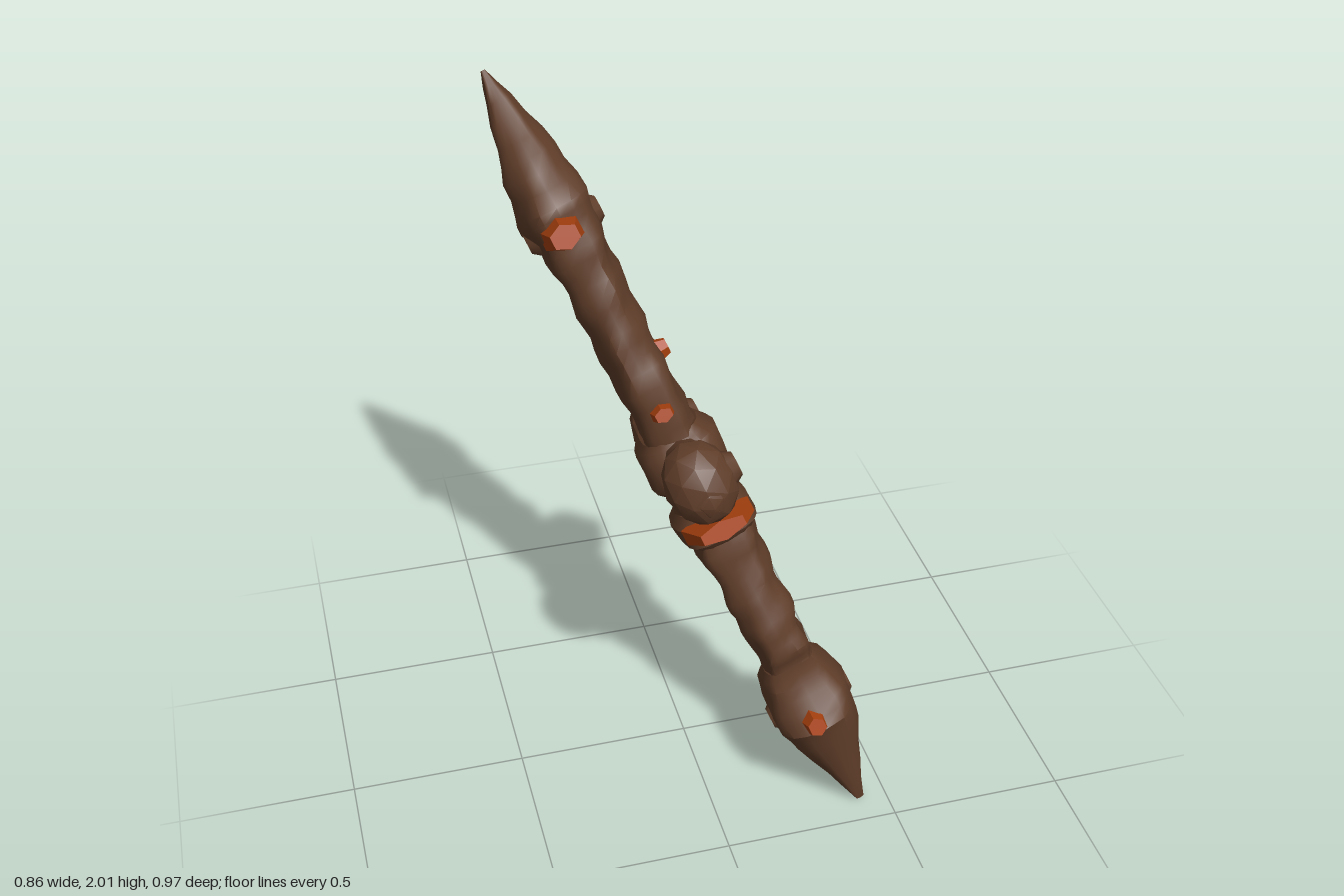
import * as THREE from 'three';
import { toCreasedNormals } from 'three/addons/utils/BufferGeometryUtils.js';

const brown = new THREE.MeshStandardMaterial({ color: 0x5f3d29 });
brown.name = 'dark brown';
const ember = new THREE.MeshStandardMaterial({ color: 0xa8410f });
ember.name = 'ember orange';

// Closed loft along y. Each section: [y, +z reach, -z reach, x half thickness]
function loft(sections, sides, lump) {
  const rows = [];
  sections.forEach((s, i) => {
    rows.push(s);
    const next = sections[i + 1];
    if (next) rows.push(s.map((v, k) => (v + next[k]) / 2));
  });
  const pos = [], index = [];
  const soft = (v) => Math.sign(v) * Math.abs(v) ** 0.72;
  rows.forEach(([y, front, back, thick]) => {
    for (let j = 0; j < sides; j++) {
      const a = (j / sides) * Math.PI * 2;
      const k = 1 + lump * Math.sin(y * 31 + 3 * a) * Math.cos(y * 17 - 2 * a);
      const s = soft(Math.sin(a));
      pos.push(thick * soft(Math.cos(a)) * k, y, s * (s > 0 ? front : back) * (1 + (k - 1) * 0.4));
    }
  });
  for (let i = 0; i < rows.length - 1; i++) {
    for (let j = 0; j < sides; j++) {
      const a = i * sides + j, b = i * sides + ((j + 1) % sides);
      index.push(a, a + sides, b, b, a + sides, b + sides);
    }
  }
  // end caps
  const top = (rows.length - 1) * sides;
  for (let j = 1; j < sides - 1; j++) index.push(0, j, j + 1, top, top + j + 1, top + j);
  const g = new THREE.BufferGeometry();
  g.setAttribute('position', new THREE.Float32BufferAttribute(pos, 3));
  g.setIndex(index);
  return toCreasedNormals(g, 0.75);
}

export function createModel() {
  const model = new THREE.Group();
  model.name = 'dagger';

  // Local frame: x = thickness, y = along the blade, z = along the guard
  const along = new THREE.Vector3(-0.84, 2, -0.83).normalize();
  const across = new THREE.Vector3(-0.09, 0.345, 0.935);
  across.addScaledVector(along, -across.dot(along)).normalize();
  const thick = new THREE.Vector3().crossVectors(along, across);
  const body = new THREE.Group();
  body.name = 'tiltedDagger';
  body.quaternion.setFromRotationMatrix(new THREE.Matrix4().makeBasis(thick, along, across));
  body.position.y = 1;
  model.add(body);

  const add = (name, geometry, material, p = [0, 0, 0], s = [1, 1, 1]) => {
    const m = new THREE.Mesh(geometry, material);
    m.name = name;
    m.position.set(...p);
    m.scale.set(...s);
    body.add(m);
    return m;
  };

  add('blade', loft([
    [0.04, 0.135, 0.14, 0.085], [0.12, 0.14, 0.14, 0.075], [0.2, 0.165, 0.15, 0.075],
    [0.3, 0.172, 0.155, 0.078], [0.38, 0.168, 0.145, 0.074], [0.46, 0.174, 0.146, 0.078],
    [0.53, 0.172, 0.17, 0.078], [0.6, 0.175, 0.155, 0.08], [0.67, 0.18, 0.16, 0.088],
    [0.74, 0.195, 0.165, 0.1], [0.79, 0.194, 0.152, 0.098], [0.88, 0.145, 0.115, 0.085],
    [0.97, 0.102, 0.08, 0.065], [1.08, 0.045, 0.036, 0.034], [1.163, 0.006, 0.006, 0.006],
  ], 20, 0.13), brown);

  add('handle', loft([
    [-0.74, 0.075, 0.11, 0.075], [-0.67, 0.068, 0.1, 0.07], [-0.62, 0.11, 0.105, 0.075],
    [-0.56, 0.114, 0.115, 0.072], [-0.51, 0.112, 0.162, 0.08], [-0.45, 0.116, 0.155, 0.082],
    [-0.4, 0.106, 0.15, 0.074], [-0.33, 0.108, 0.165, 0.085], [-0.26, 0.112, 0.175, 0.092],
    [-0.18, 0.12, 0.16, 0.09], [-0.1, 0.115, 0.14, 0.085], [0.05, 0.12, 0.14, 0.09],
  ], 20, 0.15), brown);

  add('pommel', loft([
    [-1.163, 0.008, 0.008, 0.012], [-1.03, 0.078, 0.062, 0.055], [-0.9, 0.15, 0.12, 0.1],
    [-0.83, 0.195, 0.19, 0.118], [-0.77, 0.165, 0.178, 0.12], [-0.71, 0.125, 0.165, 0.1],
    [-0.675, 0.07, 0.11, 0.075],
  ], 16, 0.06), brown);

  add('guardCollar', loft([
    [-0.07, 0.12, 0.13, 0.09], [-0.04, 0.145, 0.15, 0.115], [0.06, 0.15, 0.155, 0.118],
    [0.1, 0.13, 0.14, 0.085],
  ], 16, 0.04), brown);

  add('handleRing', loft([
    [-0.24, 0.11, 0.17, 0.09], [-0.22, 0.135, 0.185, 0.112], [-0.16, 0.14, 0.18, 0.115],
    [-0.13, 0.115, 0.14, 0.09],
  ], 16, 0.04), brown);

  // Guard arms ending in faceted knobs with side studs
  const armShape = new THREE.CylinderGeometry(0.068, 0.06, 0.2, 10).rotateX(Math.PI / 2);
  const knobShape = toCreasedNormals(new THREE.IcosahedronGeometry(1, 1), 0.45);
  const studShape = new THREE.CylinderGeometry(0.6, 1, 1, 10).rotateZ(-Math.PI / 2);
  for (const side of [1, -1]) {
    const label = side > 0 ? 'front' : 'back';
    const t = side > 0 ? 0.008 : 0.02;
    add(label + 'GuardArm', armShape, brown, [0, 0.025, side * 0.17]);
    add(label + 'GuardKnob', knobShape, brown, [0, t, side * 0.305], [0.098, 0.118, 0.098]);
    add(label + 'KnobEnd', knobShape, brown, [0, t - 0.02, side * 0.345], [0.06, 0.07, 0.055]);
    add(label + 'KnobStud', studShape, brown, [0.09, t, side * 0.305], [0.035, 0.055, 0.055]);
  }

  // Raised studs on both flat faces of blade and pommel
  for (const side of [1, -1]) {
    for (const [name, t, w, reach] of [['blade', 0.72, 0.02, 0.095], ['pommel', -0.81, 0, 0.112]]) {
      add(name + 'Stud', studShape, brown, [side * reach, t, w], [side * 0.025, 0.05, 0.05])
        .rotation.y = side < 0 ? Math.PI : 0;
      body.children.at(-1).scale.x = 0.025;
    }
  }

  // Faceted gems: tapered hexagons facing +z, -z or +x
  const gemShape = toCreasedNormals(new THREE.CylinderGeometry(0.62, 1, 2, 6), 0.2);
  const facing = {
    front: gemShape.clone().rotateX(Math.PI / 2),
    back: gemShape.clone().rotateX(-Math.PI / 2),
    side: gemShape.clone().rotateZ(-Math.PI / 2),
  };
  const gems = [
    ['bladeTopFrontGem', 'front', [-0.015, 0.725, 0.2], [0.066, 0.055, 0.06]],
    ['bladeTopBackGem', 'back', [0.01, 0.74, -0.17], [0.055, 0.052, 0.048]],
    ['bladeSideGem', 'side', [0.075, 0.313, 0.06], [0.022, 0.037, 0.037]],
    ['bladeLowFrontGem', 'front', [0, 0.18, 0.155], [0.042, 0.032, 0.036]],
    ['bladeLowBackGem', 'back', [0, 0.255, -0.145], [0.036, 0.028, 0.027]],
    ['ringFrontGem', 'front', [0, -0.175, 0.15], [0.118, 0.045, 0.048]],
    ['ringBackGem', 'back', [0, -0.205, -0.19], [0.115, 0.06, 0.045]],
    ['pommelFrontGem', 'front', [-0.02, -0.81, 0.175], [0.042, 0.045, 0.025]],
    ['pommelBackGem', 'back', [0.01, -0.785, -0.175], [0.055, 0.055, 0.025]],
  ];
  for (const [name, face, p, s] of gems) add(name, facing[face], ember, p, s);

  return model;
}
